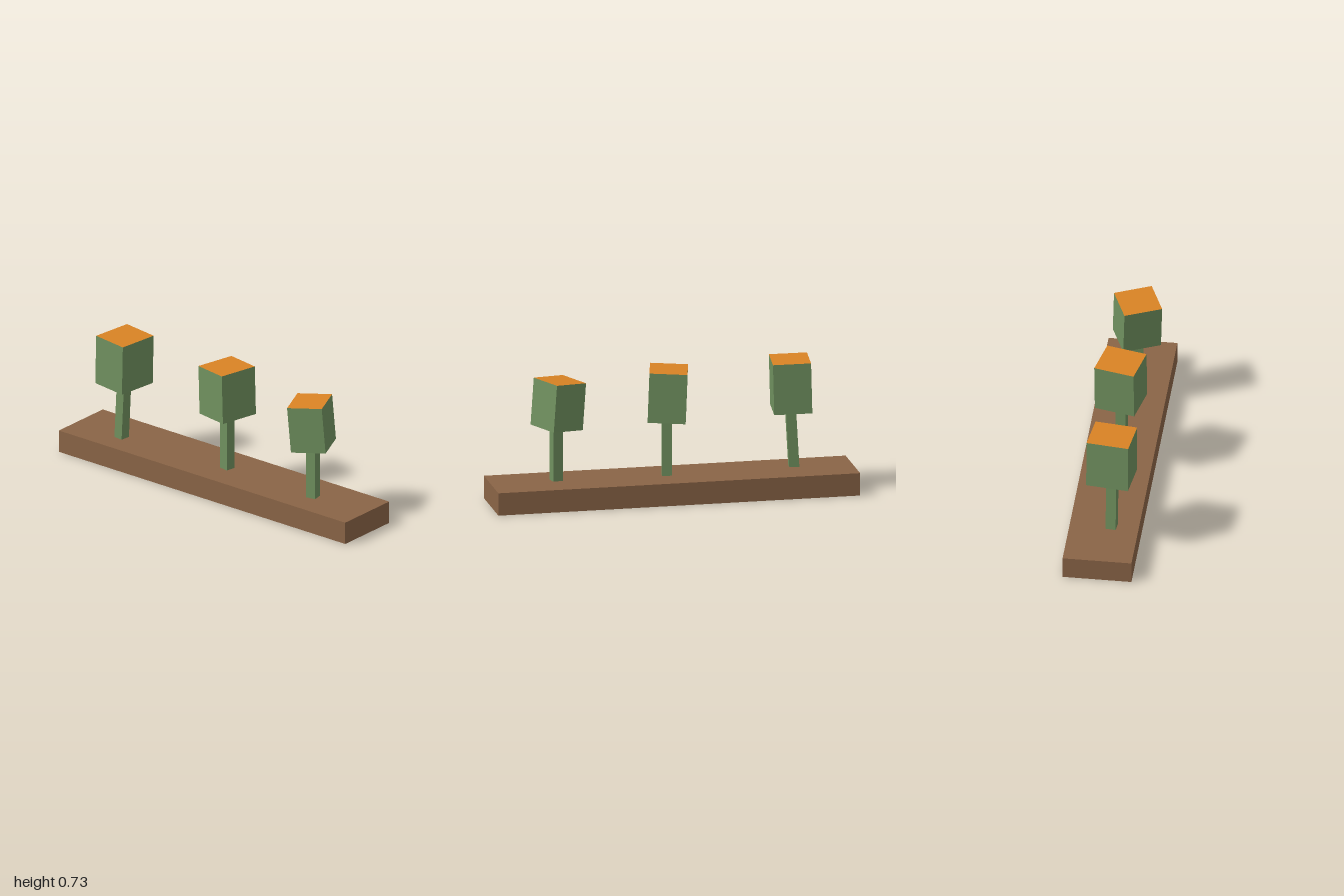
import * as THREE from 'three';

const soil = new THREE.MeshStandardMaterial({ color: 0x8a6446, side: THREE.DoubleSide });
soil.name = 'soil brown';
const leaf = new THREE.MeshStandardMaterial({ color: 0x70915f });
leaf.name = 'leaf green';
const bloom = new THREE.MeshStandardMaterial({ color: 0xd98324 });
bloom.name = 'bloom orange';

// Box without its underside; the group order of a box is +x, -x, +y, -y, +z, -z
function openBox(w, h, d) {
  const geo = new THREE.BoxGeometry(w, h, d);
  const index = Array.from(geo.index.array);
  index.splice(18, 6);
  geo.setIndex(index);
  geo.clearGroups();
  return geo;
}

function place(mesh, name, position, yaw, lean) {
  mesh.name = name;
  mesh.position.set(...position);
  mesh.rotation.set(0, yaw, lean, 'YXZ');
  return mesh;
}

// Each plant: block head with an orange top on a square stem, all slightly askew
const plants = [
  {
    name: 'rightPlant',
    head: { size: [0.207, 0.28, 0.232], at: [-0.664, 0.585, 0.038], yaw: -0.115, lean: -0.025 },
    stem: { height: 0.33, at: [-0.673, 0.285, 0.041], yaw: -0.1, lean: -0.056 },
  },
  {
    name: 'middlePlant',
    head: { size: [0.206, 0.276, 0.226], at: [0.023, 0.579, 0.001], yaw: -0.225, lean: 0.037 },
    stem: { height: 0.33, at: [0.028, 0.285, 0.006], yaw: -0.15, lean: 0 },
  },
  {
    name: 'leftPlant',
    head: { size: [0.195, 0.26, 0.213], at: [0.625, 0.551, 0.017], yaw: 0.42, lean: 0.083 },
    stem: { height: 0.31, at: [0.637, 0.275, 0.018], yaw: 0.18, lean: 0 },
  },
];

export function createModel() {
  const model = new THREE.Group();
  model.name = 'plantBed';

  // Hollow bed, open below
  const bed = new THREE.Mesh(openBox(2, 0.125, 0.375), soil);
  model.add(place(bed, 'bed', [0, 0.0625, 0], 0, 0));

  for (const { name, head, stem } of plants) {
    const plant = new THREE.Group();
    plant.name = name;
    const headMesh = new THREE.Mesh(
      new THREE.BoxGeometry(...head.size),
      [leaf, leaf, bloom, leaf, leaf, leaf]
    );
    const stemMesh = new THREE.Mesh(openBox(0.055, stem.height, 0.056), leaf);
    plant.add(place(headMesh, 'head', head.at, head.yaw, head.lean));
    plant.add(place(stemMesh, 'stem', stem.at, stem.yaw, stem.lean));
    model.add(plant);
  }
  return model;
}
